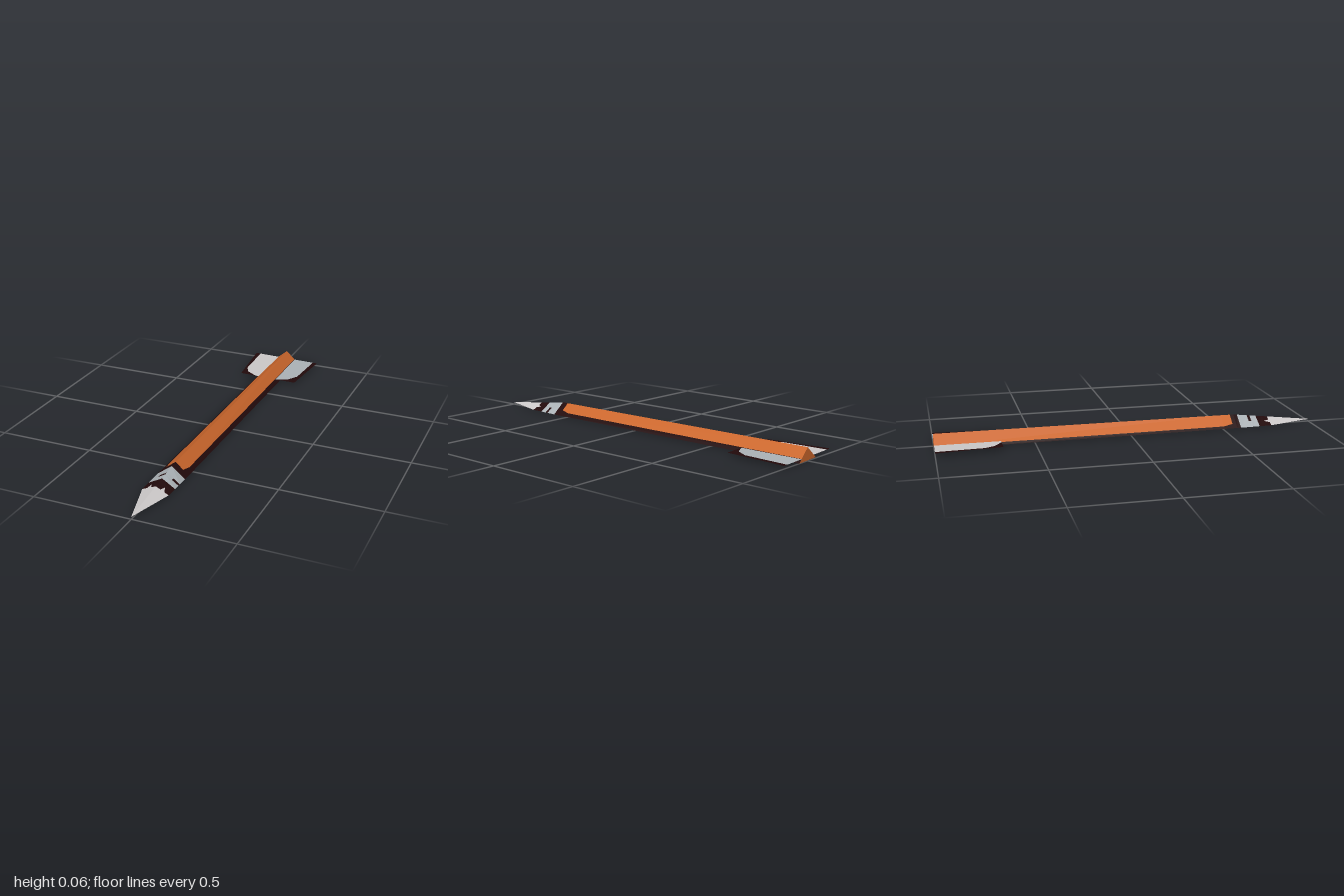
import * as THREE from 'three';

const mat = (name, color, side = THREE.FrontSide) => {
  const m = new THREE.MeshStandardMaterial({ color, side });
  m.name = name;
  return m;
};

// Triangular cross-sections along z: left corner, apex, right corner as [x, y]
const stations = [
  { z: -1, pts: [[-0.072, 0.004], [0, 0.064], [0.067, 0]] },
  { z: 0.57, pts: [[-0.072, 0.009], [0, 0.064], [0.067, 0.005]] },
  { z: 0.76, pts: [[-0.07, 0.011], [0, 0.041], [0.065, 0.008]] },
  { z: 1, pts: [[0, 0.012], [0, 0.012], [0, 0.012]] },
];

// Point on face f (0 and 1 slopes, 2 underside), u across the face, z along it
function surfacePoint(f, u, z) {
  let i = 0;
  while (i < stations.length - 2 && z > stations[i + 1].z) i++;
  const a = stations[i], b = stations[i + 1];
  const t = (z - a.z) / (b.z - a.z);
  const corner = (k, c) => THREE.MathUtils.lerp(a.pts[k][c], b.pts[k][c], t);
  const mix = (c) => THREE.MathUtils.lerp(corner(f, c), corner((f + 1) % 3, c), u);
  return [mix(0), mix(1), z];
}

// Patch: [face, z0, u0, u1, z1, u0 at z1, u1 at z1]
function patchMesh(name, material, patches, extra = []) {
  const pos = [...extra];
  for (const [f, z0, a0, b0, z1, a1 = a0, b1 = b0] of patches) {
    const p = surfacePoint(f, a0, z0), q = surfacePoint(f, a1, z1);
    const r = surfacePoint(f, b1, z1), s = surfacePoint(f, b0, z0);
    pos.push(...p, ...q, ...r, ...p, ...r, ...s);
  }
  const g = new THREE.BufferGeometry();
  g.setAttribute('position', new THREE.Float32BufferAttribute(pos, 3));
  g.computeVertexNormals();
  const mesh = new THREE.Mesh(g, material);
  mesh.name = name;
  return mesh;
}

// Thin, slightly banked fin panel from [x, z] outline points
function finPanel(name, material, outline) {
  const shape = new THREE.Shape(outline.map(([x, z]) => new THREE.Vector2(x, z)));
  const g = new THREE.ShapeGeometry(shape).rotateX(Math.PI / 2);
  const p = g.attributes.position;
  for (let i = 0; i < p.count; i++) p.setY(i, 0.018 - 0.0205 * p.getX(i));
  g.computeVertexNormals();
  const mesh = new THREE.Mesh(g, material);
  mesh.name = name;
  return mesh;
}

export function createModel() {
  const orange = mat('orange shaft', 0xcc672c);
  const dark = mat('dark trim', 0x220a0b, THREE.DoubleSide);
  const steel = mat('blue grey', 0xacb3b7, THREE.DoubleSide);
  const pale = mat('pale grey', 0xcdc9c9, THREE.DoubleSide);

  const model = new THREE.Group();
  model.name = 'arrow';

  const shaft = [], trim = [], collar = [], nose = [];
  // Orange range across each face: left slope, right slope, underside
  const ranges = [[0.18, 1], [0, 0.72], [0.1, 0.9]];
  ranges.forEach(([a, b], f) => {
    const ca = a > 0 ? a + 0.14 : 0, cb = b < 1 ? b - 0.14 : 1;
    shaft.push([f, -1, a, b, 0.5], [f, 0.5, a, b, 0.55, ca, cb]);
    // Dark edge strips with chamfered front corners
    if (a > 0) trim.push([f, -1, 0, a, 0.5], [f, 0.5, 0, a, 0.55, 0, ca]);
    if (b < 1) trim.push([f, -1, b, 1, 0.5], [f, 0.5, b, 1, 0.55, cb, 1]);
    // Ring behind the collar
    trim.push([f, 0.55, 0, 1, 0.57], [f, 0.57, 0, 1, 0.59]);
    // Collar with a thin broken line
    collar.push([f, 0.59, 0, 1, 0.645], [f, 0.66, 0, 1, 0.695]);
    collar.push([f, 0.645, 0, 0.5, 0.66]);
    trim.push([f, 0.645, 0.5, 1, 0.66]);
    // Dark band with a pale notch
    trim.push([f, 0.695, 0, 1, 0.73], [f, 0.73, 0, 0.5, 0.76, 0, 0.35], [f, 0.73, 0.5, 1, 0.76, 0.65, 1]);
    nose.push([f, 0.73, 0.5, 0.5, 0.76, 0.35, 0.65], [f, 0.76, 0, 1, 1]);
  });
  // Closed tail
  const tail = [0, 1, 2].flatMap((k) => [...stations[0].pts[k], -1]);
  model.add(
    patchMesh('shaft', orange, shaft, tail),
    patchMesh('shaftTrim', dark, trim),
    patchMesh('collar', steel, collar),
    patchMesh('nose', pale, nose),
  );

  // Fins: pale panel, then dark border sharing the same curved edge
  const fins = [
    { name: 'rightFin', s: -1, panel: pale, outer: 0.196,
      edge: [[0.17, -1], [0.16, -0.76], [0.135, -0.71], [0.075, -0.67]] },
    { name: 'leftFin', s: 1, panel: steel, outer: 0.191,
      edge: [[0.165, -1], [0.15, -0.76], [0.115, -0.7], [0.055, -0.67]] },
  ];
  for (const { name, s, panel, outer, edge } of fins) {
    const flip = (pts) => pts.map(([x, z]) => [s * x, z]);
    const fin = new THREE.Group();
    fin.name = name;
    fin.add(
      finPanel(name + 'Panel', panel, flip([[0.02, -1], ...edge, [0.02, -0.67]])),
      finPanel(name + 'Border', dark, flip([...edge, [0.163, -0.67], [outer, -1]])),
    );
    model.add(fin);
  }
  return model;
}
